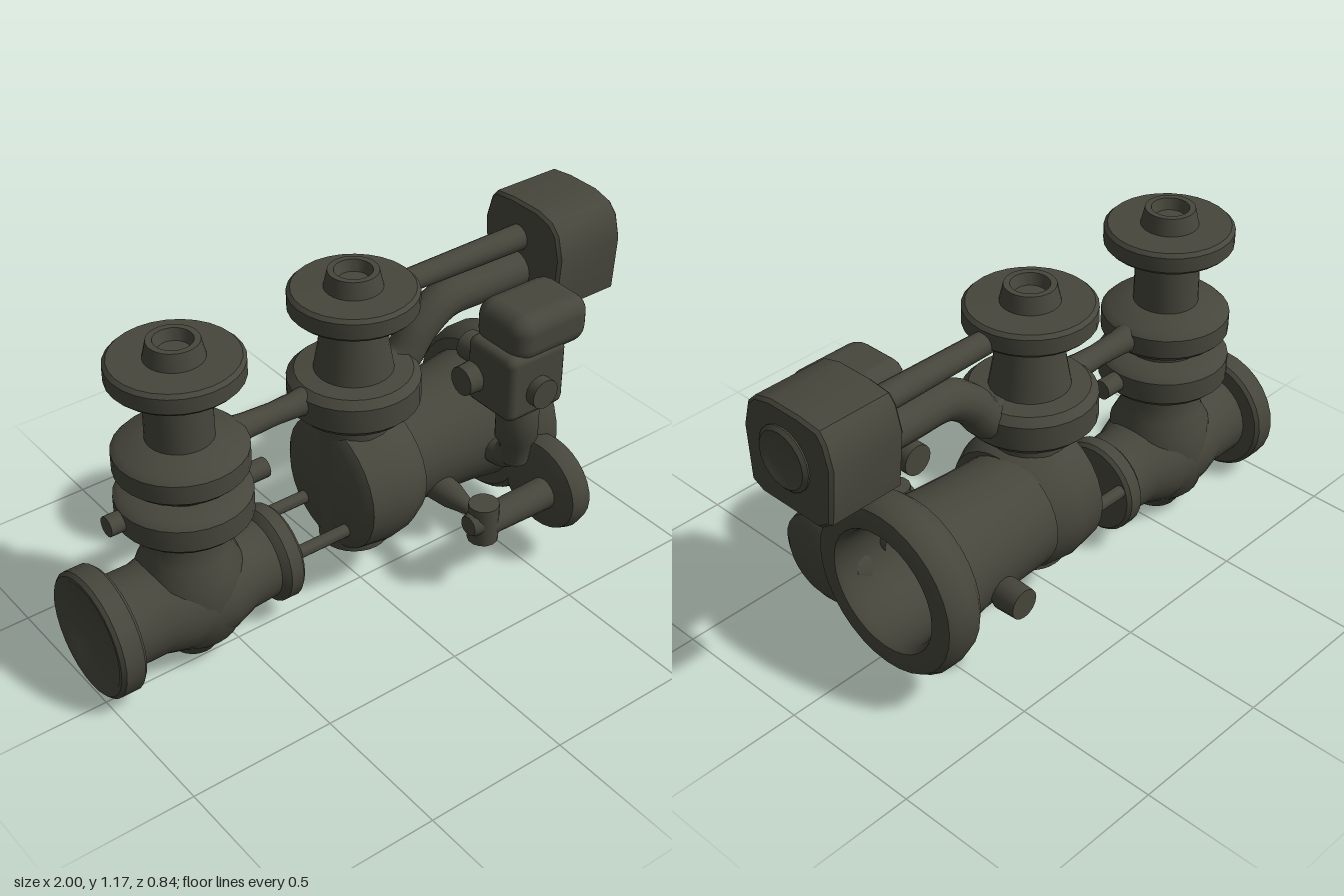
import * as THREE from 'three';
import { toCreasedNormals } from 'three/addons/utils/BufferGeometryUtils.js';
import { RoundedBoxGeometry } from 'three/addons/geometries/RoundedBoxGeometry.js';

export function createModel() {
  const root = new THREE.Group();
  const iron = new THREE.MeshStandardMaterial({ color: 0x46463c });
  iron.name = 'darkIron';

  const add = (name, geo, x = 0, y = 0, z = 0, parent = root) => {
    const mesh = new THREE.Mesh(geo, iron);
    mesh.name = name;
    mesh.position.set(x, y, z);
    parent.add(mesh);
    return mesh;
  };
  // Turned part: profile of [radius, height], along y, x or z
  const turned = (profile, axis = 'y', sides = 28) => {
    const geo = new THREE.LatheGeometry(profile.map(([r, h]) => new THREE.Vector2(r, h)), sides);
    if (axis === 'x') geo.rotateZ(-Math.PI / 2);
    if (axis === 'z') geo.rotateX(Math.PI / 2);
    return toCreasedNormals(geo, 0.65);
  };
  // Disc with softened rims, as profile points
  const disc = (r, h0, h1, b = 0.015) => [[r - b, h0], [r, h0 + b], [r, h1 - b], [r - b, h1]];
  const rod = (r, h0, h1, axis, sides = 14) => turned([[0, h0], [r, h0], [r, h1], [0, h1]], axis, sides);
  const tube = (points, r) => new THREE.TubeGeometry(
    new THREE.CatmullRomCurve3(points.map(p => new THREE.Vector3(...p))), 24, r, 14);

  const Z = -0.08, XL = -0.62, XR = 0.035;
  // Hollow cap on top of each valve
  const cap = [[0.095, 1.11], [0.082, 1.167], [0.062, 1.167], [0.05, 1.13], [0, 1.13]];

  // Small valve: upright bonnet stack
  const small = new THREE.Group();
  small.name = 'smallValve';
  root.add(small);
  add('smallBonnet', turned([
    [0, 0.012], [0.075, 0.012], [0.1, 0.05], [0.15, 0.1], [0.175, 0.2], [0.17, 0.35], [0.14, 0.41], [0.13, 0.47], [0.13, 0.53],
    ...disc(0.218, 0.53, 0.645, 0.02), [0.13, 0.655], [0.13, 0.705],
    ...disc(0.213, 0.705, 0.81, 0.02), [0.108, 0.83], [0.105, 1.035],
    ...disc(0.213, 1.035, 1.11, 0.012), ...cap]), XL, 0, Z, small);
  // Small valve: pipe run with end flanges
  add('smallPipe', turned([
    [0, -0.985], [0.17, -0.985], [0.19, -1], ...disc(0.215, -1, -0.91, 0.012),
    [0.155, -0.905], [0.155, -0.78], [0.175, -0.7], [0.175, -0.54], [0.145, -0.45], [0.14, -0.36],
    ...disc(0.165, -0.35, -0.28, 0.012), [0, -0.28]], 'x'), 0, 0.225, Z, small);
  // Studs on the bonnet flange
  for (const s of [-1, 1])
    add('flangeStud', rod(0.034, -0.09, 0.09, 'x'), XL + 0.012 + s * 0.187, 0.59, Z + s * 0.02, small);

  // Large valve: upright bonnet stack
  const large = new THREE.Group();
  large.name = 'largeValve';
  root.add(large);
  add('largeBonnet', turned([
    [0, 0.15], [0.12, 0.15], [0.122, 0.68],
    ...disc(0.217, 0.675, 0.81, 0.025), [0.13, 0.815], [0.115, 0.9], [0.1, 1.03],
    ...disc(0.21, 1.03, 1.108, 0.012), ...cap]), XR, 0, Z, large);
  // Barrel of the large valve
  add('barrel', turned([
    [0, -0.082], [0.2, -0.082], [0.233, -0.06], [0.246, 0.04], [0.235, 0.12], [0.205, 0.18], [0, 0.18]], 'x'), 0, 0.39, Z, large);
  // Outlet with a wide open flange
  add('outlet', turned([
    [0, 0.1], [0.2, 0.15], [0.205, 0.3], [0.215, 0.45], [0.23, 0.56], [0.27, 0.565], [0.292, 0.59],
    [0.303, 0.63], [0.303, 0.68], [0.285, 0.71], [0.25, 0.72], [0.215, 0.715], [0.2, 0.69],
    [0.19, 0.56], [0.18, 0.47], [0, 0.46]], 'x', 32), 0, 0.395, -0.113, large);
  // Drain boss on the rear
  add('rearBoss', turned([[0, -0.33], [0.052, -0.33], [0.055, -0.25], [0.035, -0.21], [0.035, -0.05], [0, -0.05]].map(
    ([r, h]) => [r, h - 0.08]), 'z', 16), 0.405, 0.33, 0, large);

  // Tie rods and pipe joining the valves
  for (const z of [-0.2, 0.03]) add('tieRod', rod(0.022, -0.35, 0.0, 'x'), 0, 0.272, z);
  add('linkPipe', turned([[0, -0.46], [0.05, -0.45], [0.042, -0.38], [0.038, -0.28],
    [0.042, -0.2], [0.05, -0.14], [0, -0.13]], 'x', 16), 0, 0.76, Z);

  // Straight and curved arms carrying the housing
  add('upperArm', turned([[0, 0.15], [0.038, 0.15], [0.045, 0.72], [0, 0.73]], 'x', 16), 0, 1.048, Z);
  add('lowerArm', tube([[0.12, 0.75, Z], [0.22, 0.765, Z], [0.3, 0.86, Z], [0.4, 0.925, Z], [0.55, 0.93, Z], [0.74, 0.93, Z]], 0.065));

  // Actuator housing: bulging block, cross-section narrowed toward the top
  const outline = [[-0.17, -0.15], [-0.12, -0.175], [0.12, -0.175], [0.17, -0.14], [0.188, 0.05],
    [0.165, 0.13], [0.14, 0.162], [0.06, 0.172], [-0.06, 0.172], [-0.125, 0.155], [-0.16, 0.12], [-0.182, 0.04]];
  const shape = new THREE.Shape(outline.map(p => new THREE.Vector2(...p)));
  const block = new THREE.ExtrudeGeometry(shape, { depth: 0.25, bevelEnabled: true, bevelThickness: 0.01, bevelSize: 0.01, bevelOffset: -0.01, bevelSegments: 1 });
  block.rotateY(Math.PI / 2);
  add('housing', toCreasedNormals(block, 0.6), 0.725, 1.005, -0.06);
  add('housingPort', turned([[0, 0.95], [0.105, 0.95], [0.105, 0.99], [0.092, 1],
    [0.078, 0.995], [0.06, 0.988], [0, 0.986]], 'x', 20), 0, 1.008, -0.052);

  // Regulator beside the outlet
  const reg = new THREE.Group();
  reg.name = 'regulator';
  root.add(reg);
  add('regulatorHead', new RoundedBoxGeometry(0.31, 0.17, 0.235, 3, 0.06), 0.555, 0.92, 0.178, reg);
  add('regulatorBlock', new RoundedBoxGeometry(0.24, 0.24, 0.22, 2, 0.03), 0.49, 0.76, 0.185, reg);
  add('regulatorCrossBar', rod(0.052, -0.05, 0.33, 'z', 16), 0.49, 0.735, 0, reg);
  add('regulatorSidePort', turned([[0, 0.32], [0.05, 0.32], [0.055, 0.4], [0.075, 0.6], [0.075, 0.64],
    [0.05, 0.67], [0, 0.675]], 'x', 18), 0, 0.74, 0.115, reg);
  add('regulatorNeck', turned([[0, 0.38], [0.045, 0.4], [0.055, 0.47], [0.072, 0.5], [0.072, 0.61],
    [0.06, 0.66], [0, 0.66]], 'y', 18), 0.5, 0, 0.195, reg);
  add('regulatorElbow', tube([[0.5, 0.45, 0.19], [0.5, 0.4, 0.15], [0.5, 0.38, 0.05]], 0.05), 0, 0, 0, reg);

  // Side wheel, its shaft and mount
  const wheel = new THREE.Group();
  wheel.name = 'sideWheel';
  root.add(wheel);
  const dish = turned([[0, 0.56], [0.12, 0.56], [0.155, 0.575], [0.165, 0.61], [0.155, 0.65], [0.125, 0.67], [0, 0.672]], 'x');
  dish.scale(1, 1, 1.12);
  add('wheelDish', dish, 0, 0.285, 0.237, wheel);
  add('wheelShaft', turned([[0, 0.3], [0.05, 0.3], [0.056, 0.56], [0, 0.57]], 'x', 16), 0, 0.28, 0.28, wheel);
  add('shaftKnob', turned([[0, 0.23], [0.035, 0.23], [0.042, 0.25], [0.042, 0.31], [0, 0.32]], 'x', 14), 0, 0.295, 0.28, wheel);
  add('shaftCollar', rod(0.052, 0.22, 0.36, 'y', 14), 0.295, 0, 0.28, wheel);
  add('shaftMount', turned([[0, 0], [0.055, 0], [0.045, 0.1], [0.025, 0.18], [0.025, 0.28], [0, 0.28]], 'z', 14), 0.29, 0.3, 0.03, wheel);

  return root;
}
